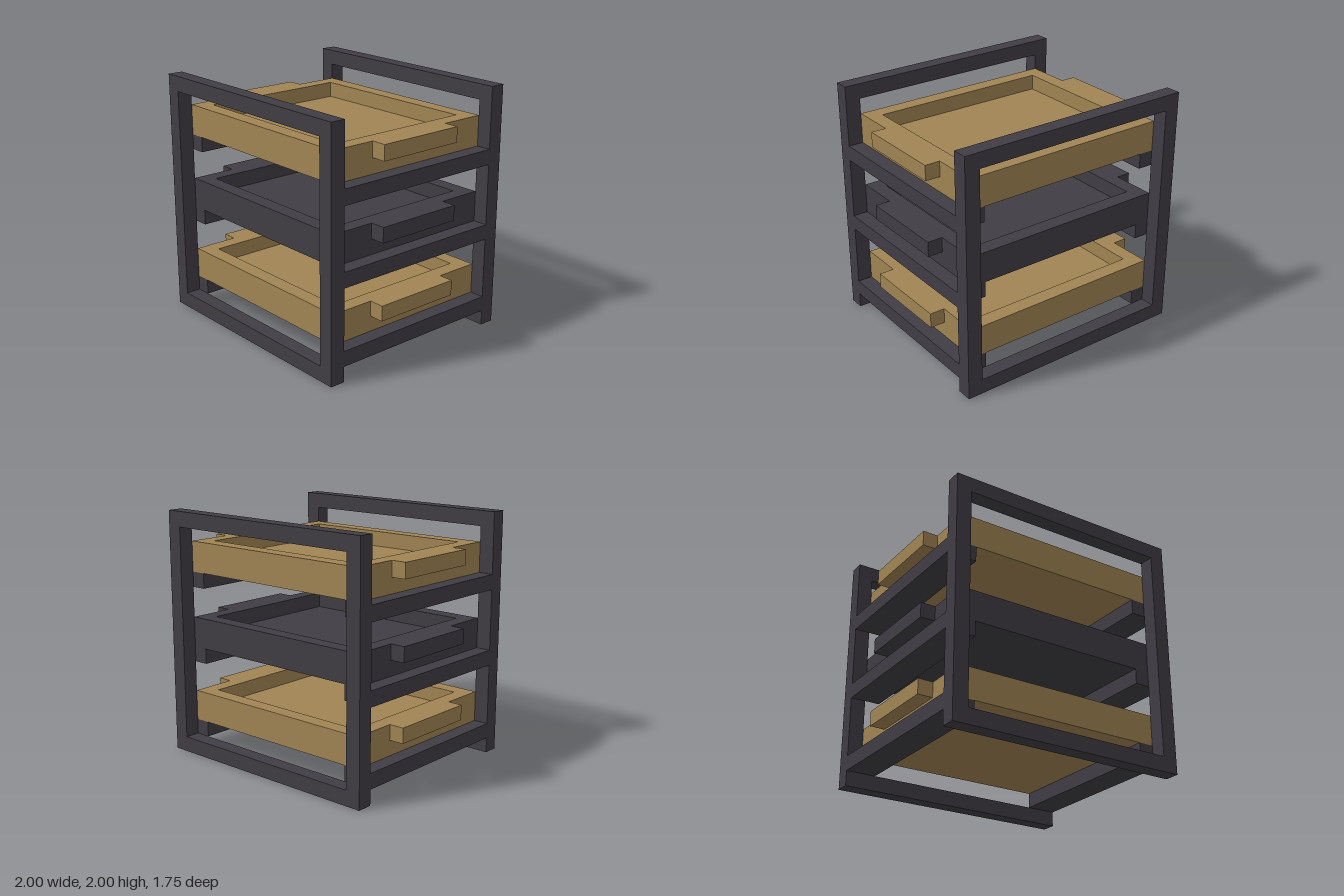
import * as THREE from 'three';

const darkMetal = new THREE.MeshStandardMaterial({ color: 0x403d44 });
darkMetal.name = 'dark metal';
const tanWood = new THREE.MeshStandardMaterial({ color: 0xa08453 });
tanWood.name = 'tan wood';

const BAR = 0.125; // thickness of every bar and tray wall

function addMesh(parent, name, geometry, material, x = 0, y = 0, z = 0) {
  const mesh = new THREE.Mesh(geometry, material);
  mesh.name = name;
  mesh.position.set(x, y, z);
  parent.add(mesh);
  return mesh;
}

function rectangle(target, x0, y0, x1, y1) {
  target.moveTo(x0, y0);
  target.lineTo(x1, y0);
  target.lineTo(x1, y1);
  target.lineTo(x0, y1);
  target.closePath();
  return target;
}

// Upright rectangular frame with one large opening
function frameGeometry() {
  const shape = rectangle(new THREE.Shape(), -1, 0, 1, 2);
  shape.holes.push(rectangle(new THREE.Path(), -0.875, BAR, 0.875, 2 - BAR));
  return new THREE.ExtrudeGeometry(shape, { depth: BAR, bevelEnabled: false });
}

// Tray rim seen from above: a rectangle with a grip on each side and a recess
function rimGeometry() {
  const right = [[0.875, -0.75], [0.875, -0.375], [1, -0.375], [1, 0.375], [0.875, 0.375], [0.875, 0.75]];
  const left = right.map(([x, z]) => [-x, -z]);
  const shape = new THREE.Shape([...right, ...left].map(([x, z]) => new THREE.Vector2(x, z)));
  shape.holes.push(rectangle(new THREE.Path(), -0.75, -0.625, 0.75, 0.625));
  const geometry = new THREE.ExtrudeGeometry(shape, { depth: BAR, bevelEnabled: false });
  return geometry.rotateX(-Math.PI / 2);
}

// Tray whose underside is at y
function addTray(parent, name, y, material) {
  const tray = new THREE.Group();
  tray.name = name;
  tray.position.y = y;
  addMesh(tray, 'trayBase', new THREE.BoxGeometry(1.75, BAR, 1.5), material, 0, BAR / 2, 0);
  addMesh(tray, 'trayRim', rimGeometry(), material, 0, BAR, 0);
  parent.add(tray);
}

export function createModel() {
  const model = new THREE.Group();
  model.name = 'trayRack';

  // End frames
  addMesh(model, 'frontFrame', frameGeometry(), darkMetal, 0, 0, 0.75);
  addMesh(model, 'backFrame', frameGeometry(), darkMetal, 0, 0, -0.875);

  // Three levels, each with a pair of side rails carrying a tray
  const levels = [
    ['lower', 0.25, tanWood],
    ['middle', 0.875, darkMetal],
    ['upper', 1.5, tanWood],
  ];
  for (const [level, y, material] of levels) {
    for (const [side, s] of [['Left', 1], ['Right', -1]]) {
      addMesh(model, `${level}${side}Rail`, new THREE.BoxGeometry(0.25, BAR, 1.5), darkMetal, s * 0.875, y - BAR / 2, 0);
    }
    addTray(model, `${level}Tray`, y, material);
  }
  return model;
}
